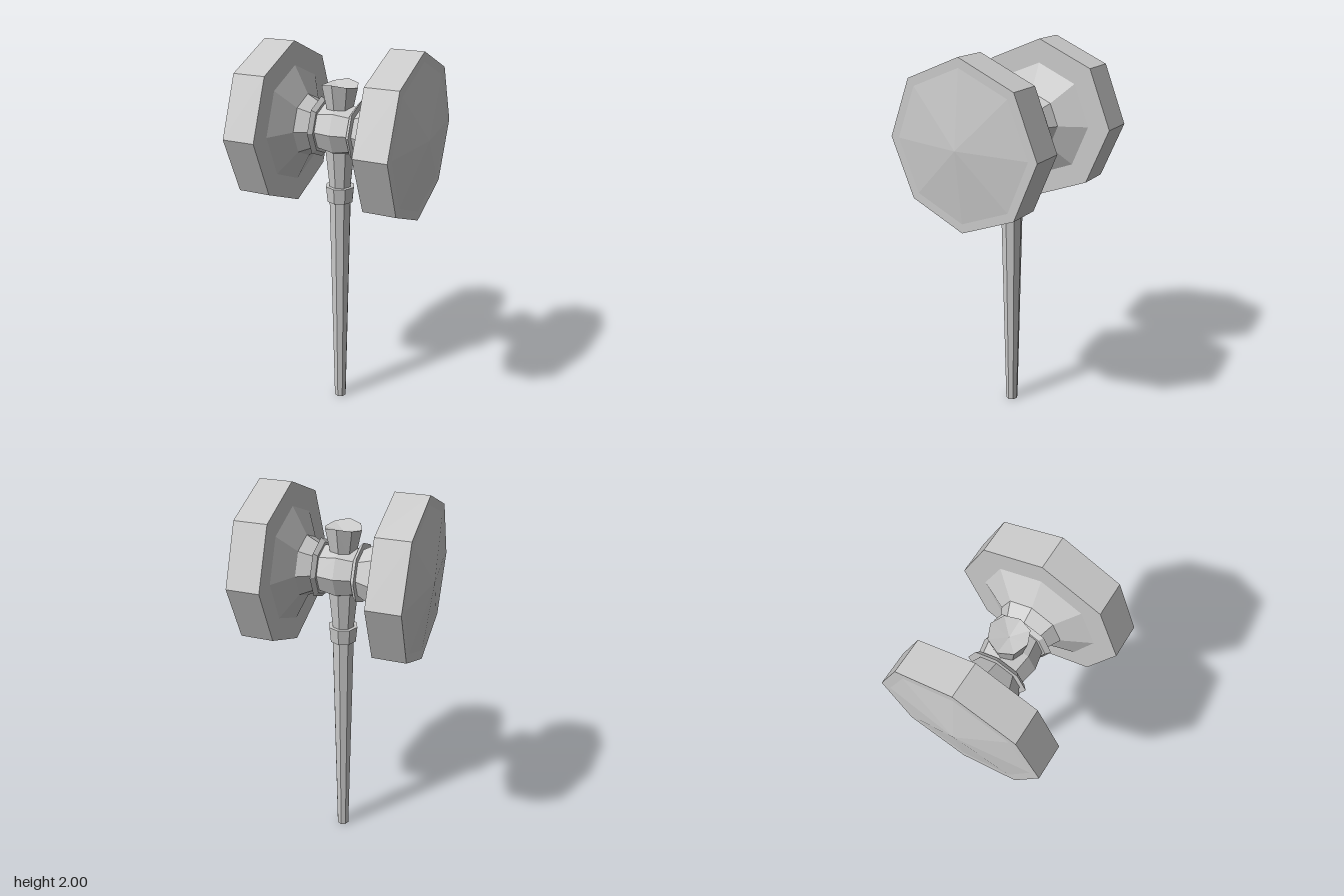
import * as THREE from 'three';

const material = new THREE.MeshStandardMaterial({ color: 0xcccccc, flatShading: true });
const HEAD_Y = 1.583;

// Eight-sided turned part; the profile is a list of [radius, height], bottom to top.
function turned(name, profile) {
  const points = profile.map(([r, y]) => new THREE.Vector2(r, y));
  const geometry = new THREE.LatheGeometry(points, 8).toNonIndexed();
  geometry.computeVertexNormals();
  const mesh = new THREE.Mesh(geometry, material);
  mesh.name = name;
  return mesh;
}

// Turned part lying along the x axis at head height.
function turnedAcross(name, profile) {
  const mesh = turned(name, profile);
  mesh.geometry.rotateZ(-Math.PI / 2);
  mesh.position.y = HEAD_Y;
  return mesh;
}

export function createModel() {
  const model = new THREE.Group();

  // Handle: tapered grip, collar, and flared neck running into the head
  const handle = new THREE.Group();
  handle.name = 'handle';
  handle.position.x = -0.005;
  handle.add(
    turned('grip', [[0, 0], [0.033, 0], [0.058, 1.21]]),
    turned('collar', [[0.05, 1.203], [0.069, 1.203], [0.077, 1.285], [0.05, 1.285]]),
    turned('upperShaft', [[0.057, 1.28], [0.078, 1.48], [0.066, 1.69]]),
  );

  // Pommel above the head: flared, with an uneven rim around a shallow dip
  const pommel = turned('pommel', [[0.066, 1.67], [0.095, 1.8], [0, 1.785]]);
  const p = pommel.geometry.attributes.position;
  for (let i = 0; i < p.count; i++) {
    if (p.getY(i) > 1.79) p.setY(i, 1.798 + 0.022 * Math.pow(p.getZ(i) / 0.095, 2));
  }
  pommel.geometry.computeVertexNormals();
  handle.add(pommel);
  model.add(handle);

  // Head core between the two collars
  model.add(turnedAcross('headCore', [[0.118, -0.1], [0.138, 0], [0.118, 0.1]]));

  // Matching striking ends
  for (const [side, turn] of [['left', 0], ['right', Math.PI]]) {
    const end = new THREE.Group();
    end.name = side + 'End';
    end.add(
      turnedAcross('ring', [[0.115, 0.09], [0.135, 0.09], [0.155, 0.11], [0.115, 0.11]]),
      turnedAcross('neck', [[0.118, 0.105], [0.16, 0.185], [0.297, 0.255]]),
      turnedAcross('strikingBlock', [
        [0.29, 0.255], [0.417, 0.255], [0.417, 0.425], [0.37, 0.425], [0, 0.468],
      ]),
    );
    end.rotation.y = turn;
    model.add(end);
  }
  return model;
}
